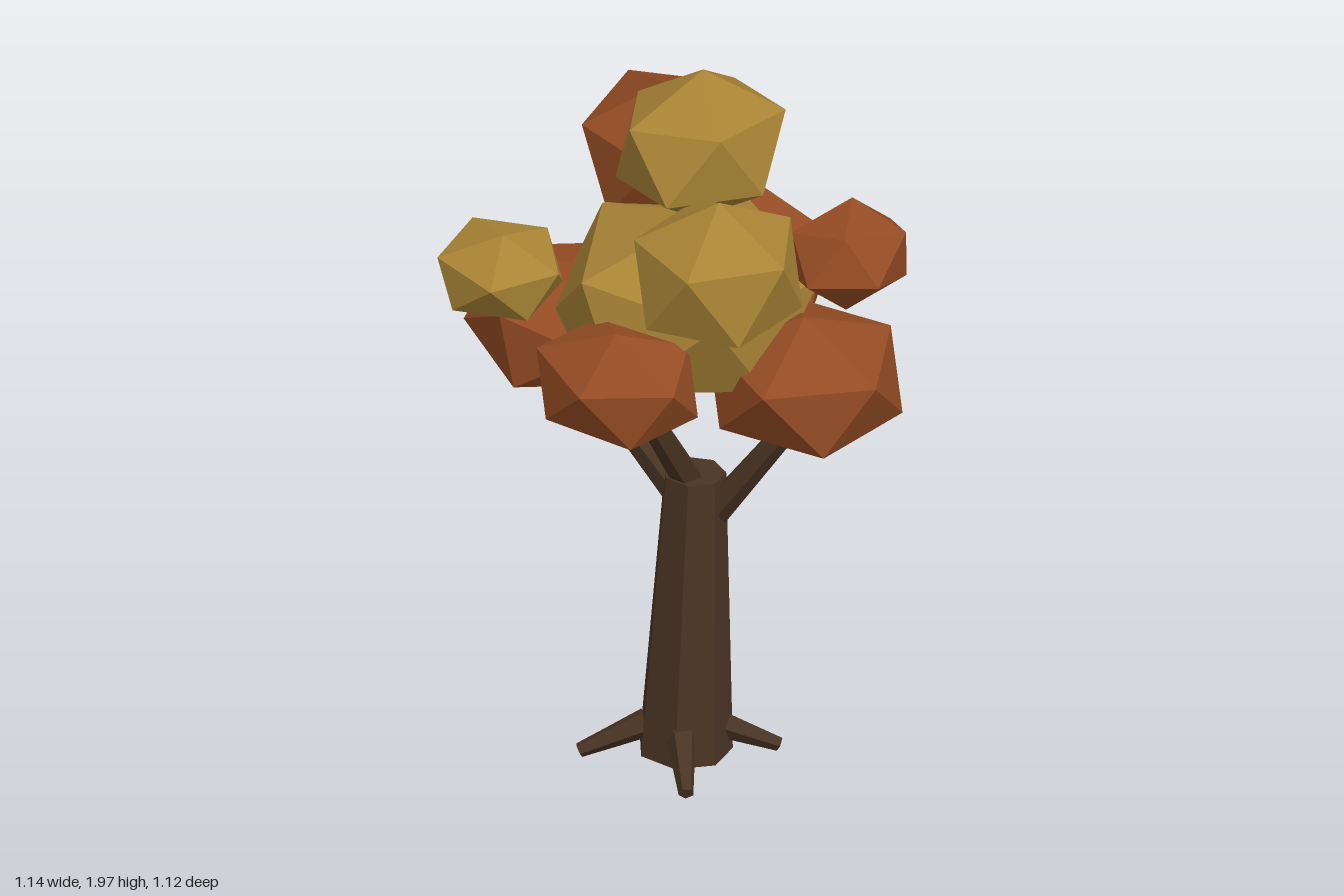
import * as THREE from 'three';

const paint = (color) => new THREE.MeshStandardMaterial({ color, flatShading: true });

export function createModel() {
  const tree = new THREE.Group();
  tree.name = 'tree';
  const bark = paint(0x493423);
  const rust = paint(0x954c24);
  const gold = paint(0xa98435);
  const up = new THREE.Vector3(0, 1, 0);

  // Tapered faceted limb between two points
  function limb(name, from, to, r0, r1, sides) {
    const a = new THREE.Vector3(...from);
    const b = new THREE.Vector3(...to);
    const geo = new THREE.CylinderGeometry(r1, r0, a.distanceTo(b), sides);
    geo.rotateY(Math.PI / sides);
    const mesh = new THREE.Mesh(geo, bark);
    mesh.position.copy(a).lerp(b, 0.5);
    mesh.quaternion.setFromUnitVectors(up, b.sub(a).normalize());
    mesh.name = name;
    tree.add(mesh);
  }

  // Twenty-sided leaf clump: spun, tilted, then stretched to its half sizes
  function clump(name, material, center, half, spin, tiltX, tiltZ) {
    const geo = new THREE.IcosahedronGeometry(1, 0);
    geo.rotateZ(0.5536).rotateY(spin).rotateX(tiltX).rotateZ(tiltZ);
    geo.computeBoundingBox();
    const m = geo.boundingBox.max;
    geo.scale(half[0] / m.x, half[1] / m.y, half[2] / m.z);
    geo.computeVertexNormals();
    const mesh = new THREE.Mesh(geo, material);
    mesh.position.set(...center);
    mesh.name = name;
    tree.add(mesh);
  }

  // Trunk, leaning slightly
  limb('trunk', [-0.02, 0.045, -0.015], [0.005, 0.85, -0.025], 0.125, 0.082, 7);

  // Branches
  limb('leftBranch', [0.035, 0.72, -0.05], [0.33, 1.14, -0.12], 0.042, 0.028, 5);
  limb('rightBranch', [-0.01, 0.75, -0.02], [-0.33, 1.16, 0.08], 0.042, 0.028, 5);
  limb('frontBranch', [0, 0.8, -0.03], [0, 1.22, 0.25], 0.042, 0.028, 5);

  // Four roots, a little off the diagonals
  for (let i = 0; i < 4; i++) {
    const angle = Math.PI / 4 + 0.07 + i * Math.PI / 2;
    const at = (r, y) => [-0.025 + r * Math.cos(angle), y, r * Math.sin(angle)];
    limb('root', at(0.085, 0.125), at(0.258, 0.05), 0.04, 0.02, 5);
  }

  // Golden foliage
  clump('topFoliage', gold, [0.01, 1.8, -0.045], [0.21, 0.2, 0.235], 0.0, -0.1, 0.05);
  clump('upperLeftFoliage', gold, [0.255, 1.605, 0.205], [0.22, 0.215, 0.22], 0.6, 0.05, -0.05);
  clump('frontRightFoliage', gold, [-0.395, 1.44, 0.275], [0.18, 0.125, 0.157], 0.8, 0.2, -0.2);
  clump('coreFoliage', gold, [-0.01, 1.365, 0], [0.31, 0.27, 0.33], -0.1, 0, -0.2);

  // Rust foliage
  clump('upperBackFoliage', rust, [-0.235, 1.63, -0.23], [0.235, 0.22, 0.205], -0.5, 0.2, -0.1);
  clump('backFoliage', rust, [-0.085, 1.295, -0.355], [0.245, 0.225, 0.21], 1.1, -0.2, 0.1);
  clump('rightFoliage', rust, [-0.355, 1.23, 0.065], [0.22, 0.18, 0.235], 0, 0.1, -0.45);
  clump('frontFoliage', rust, [0.05, 1.29, 0.365], [0.225, 0.165, 0.195], 0.4, 0.2, -0.1);
  clump('leftFoliage', rust, [0.305, 1.19, -0.1], [0.265, 0.2, 0.255], 0.5, 0.15, -0.1);
  clump('backLeftFoliage', rust, [0.345, 1.505, -0.235], [0.15, 0.13, 0.185], 0.95, -0.3, 0.2);

  return tree;
}
